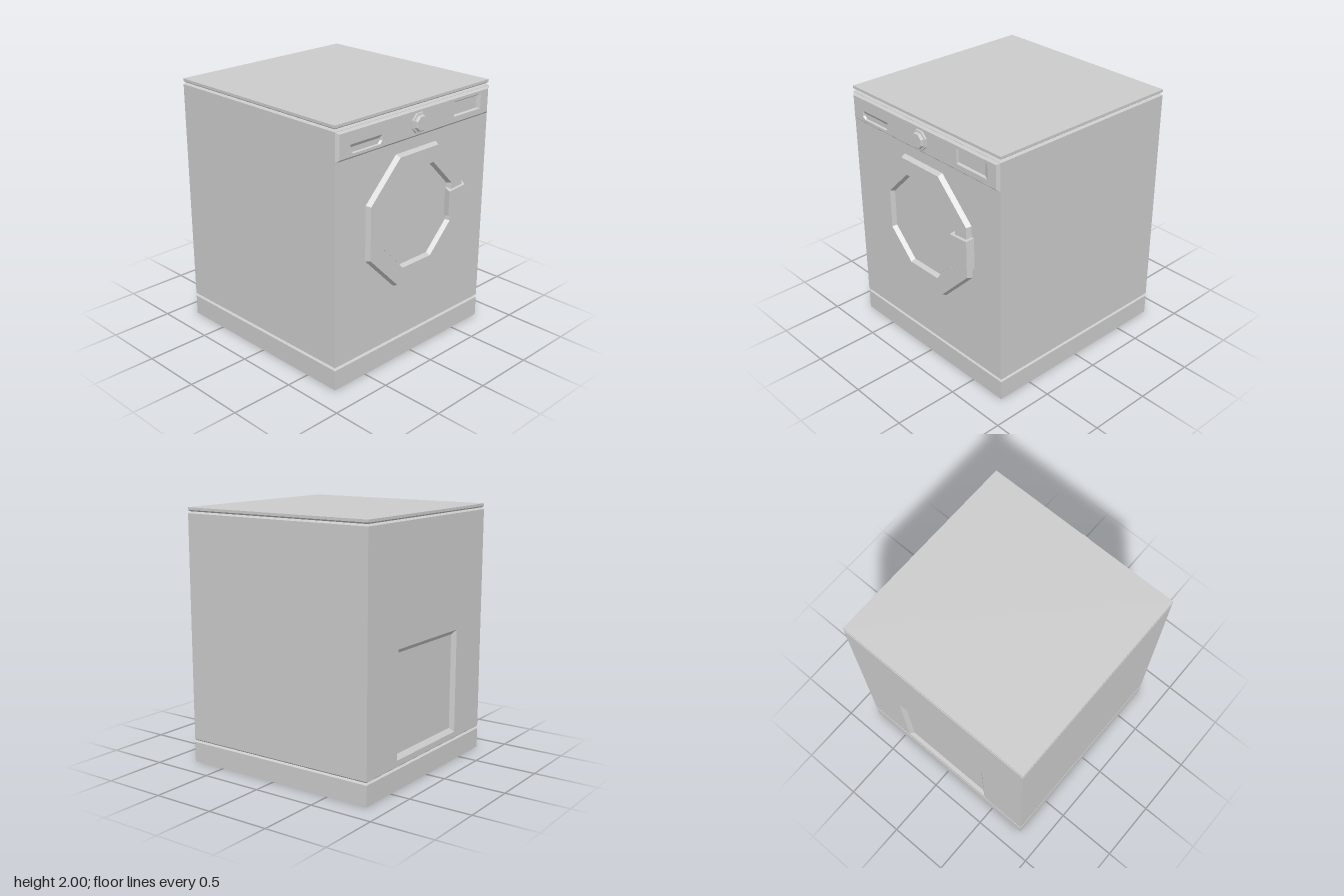
import * as THREE from 'three';

const W = 0.81, BACK = -0.84, FRONT = 0.79;
const material = new THREE.MeshStandardMaterial({ color: 0xcccccc, flatShading: true });

// Joins equal-length loops with quads; loops run counter-clockwise seen from the end.
function loft(rings, capStart = false, capEnd = false) {
  const pos = [];
  const tri = (a, b, c) => pos.push(...a, ...b, ...c);
  const n = rings[0].length;
  for (let r = 0; r < rings.length - 1; r++) {
    const a = rings[r], b = rings[r + 1];
    for (let i = 0; i < n; i++) {
      const j = (i + 1) % n;
      tri(a[i], a[j], b[j]);
      tri(a[i], b[j], b[i]);
    }
  }
  const first = rings[0], last = rings[rings.length - 1];
  for (let i = 1; i < n - 1; i++) {
    if (capStart) tri(first[0], first[i + 1], first[i]);
    if (capEnd) tri(last[0], last[i], last[i + 1]);
  }
  const g = new THREE.BufferGeometry();
  g.setAttribute('position', new THREE.Float32BufferAttribute(pos, 3));
  g.computeVertexNormals();
  return g;
}

// Loop helpers
const rect = (x0, x1, y0, y1, z) => [[x0, y0, z], [x1, y0, z], [x1, y1, z], [x0, y1, z]];
const level = (y, d) => [[-W + d, y, FRONT - d], [W - d, y, FRONT - d], [W - d, y, BACK + d], [-W + d, y, BACK + d]];
const octagon = (cy, apothem, z) => Array.from({ length: 8 }, (_, i) => {
  const a = (i + 0.5) * Math.PI / 4, r = apothem / Math.cos(Math.PI / 8);
  return [r * Math.cos(a), cy + r * Math.sin(a), z];
});
// Tray outline: rectangle with its lower corners cut
const tray = (x0, x1, y0, y1, c, z) =>
  [[x0 + c, y0, z], [x1 - c, y0, z], [x1, y0 + c, z], [x1, y1, z], [x0, y1, z], [x0, y0 + c, z]];
const toPoints = (ring) => ring.map(([x, y]) => new THREE.Vector2(x, y));

// Flat outline with holes
function plateShape(outer, holes) {
  const s = new THREE.Shape(toPoints(outer));
  for (const h of holes) s.holes.push(new THREE.Path(toPoints(h).reverse()));
  return s;
}

export function createModel() {
  const model = new THREE.Group();
  model.name = 'washingMachine';
  const add = (name, geometry, parent = model) => {
    const m = new THREE.Mesh(geometry, material);
    m.name = name;
    parent.add(m);
    return m;
  };

  // Cabinet: plinth and lid carry the V-shaped grooves
  const recess = 0.03;
  add('plinth', loft([level(0, 0), level(0.16, 0), level(0.172, 0.015), level(0.185, 0)], true, true));
  add('lid', loft([level(1.955, 0), level(1.969, 0.015), level(1.98, 0), level(2, 0)], true, true));
  const depth = FRONT - BACK - recess;
  add('cabinet', new THREE.BoxGeometry(2 * W, 1.77, depth)).position.set(0, 1.07, FRONT - depth / 2);

  // Back plate with a bevelled service recess, built facing +z and turned round
  const back = new THREE.Group();
  back.name = 'back';
  back.rotation.y = Math.PI;
  model.add(back);
  const hatch = rect(-0.42, 0.42, 0.23, 1.055, -BACK);
  add('backPlate', new THREE.ExtrudeGeometry(
    plateShape(rect(-W, W, 0.185, 1.955, 0), [hatch]), { depth: recess, bevelEnabled: false }), back)
    .position.z = -BACK - recess;
  add('serviceRecess', loft([hatch, rect(-0.385, 0.385, 0.265, 1.02, -BACK - recess + 0.001)], false, true), back);

  // Control panel with drawer grip and display pockets
  const pz = 0.808, floor = 0.793;
  const face = rect(-0.785, 0.785, 1.757, 1.937, pz);
  const grip = tray(-0.68, -0.375, 1.777, 1.845, 0.022, pz);
  const display = rect(0.39, 0.7, 1.8, 1.915, pz);
  add('panelRim', loft([rect(-W, W, 1.737, 1.955, FRONT - 0.003), face]));
  add('panelFace', new THREE.ShapeGeometry(plateShape(face, [grip, display]))).position.z = pz;
  add('drawerGrip', loft([grip, tray(-0.672, -0.383, 1.783, 1.82, 0.02, floor)], false, true));
  add('display', loft([display, rect(0.395, 0.665, 1.81, 1.904, floor)], false, true));

  // Programme knob
  const ky = 1.845;
  add('knob', loft([
    octagon(ky, 0.075, pz - 0.005), octagon(ky, 0.073, 0.82), octagon(ky, 0.058, 0.822),
    octagon(ky, 0.056, 0.838), octagon(ky, 0.05, 0.843),
  ], false, true));

  // Door ring and glass
  const dy = 1.143;
  add('doorRing', loft([
    octagon(dy, 0.512, FRONT), octagon(dy, 0.495, 0.827),
    octagon(dy, 0.373, 0.827), octagon(dy, 0.357, FRONT),
  ]));
  add('doorGlass', loft([octagon(dy, 0.358, FRONT), octagon(dy, 0.357, FRONT + 0.002)], false, true));

  // Door handle: wider and taller towards the outer edge
  add('doorHandle', loft([
    [[0.345, 1.03, FRONT], [0.535, 1.015, FRONT], [0.535, 1.27, FRONT], [0.345, 1.255, FRONT]],
    [[0.335, 1.043, 0.843], [0.512, 1.03, 0.843], [0.512, 1.25, 0.843], [0.335, 1.237, 0.843]],
  ], true, true));

  return model;
}
